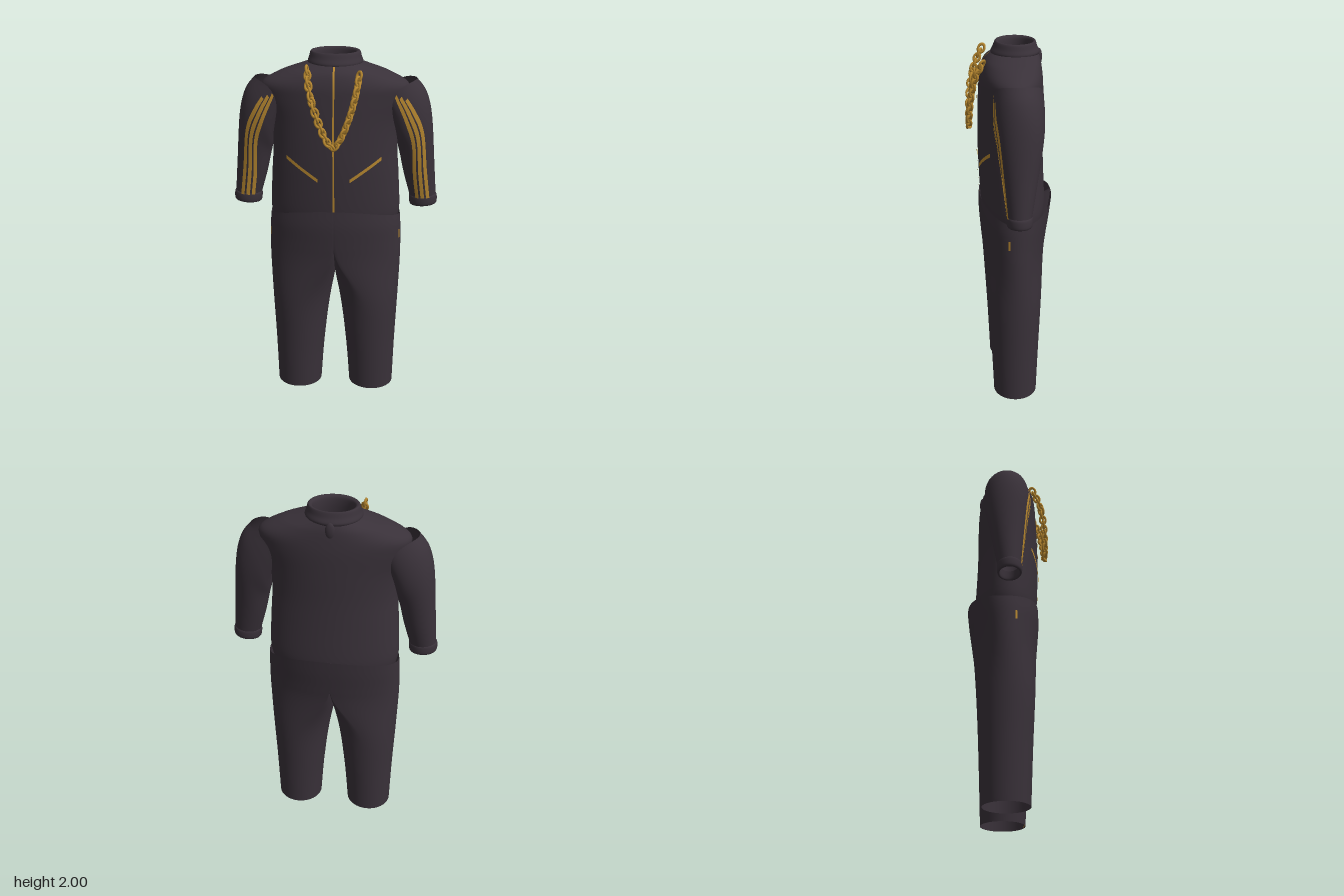
import * as THREE from 'three';
import { mergeVertices } from 'three/addons/utils/BufferGeometryUtils.js';

const { sin, cos, PI } = Math;
const rad = THREE.MathUtils.degToRad;
const V = (x, y, z) => new THREE.Vector3(x, y, z);

// Smoothly interpolates a table of cross-section values; u runs from 0 to 1.
function sample(rows, u) {
  const f = u * (rows.length - 1);
  const i = Math.min(Math.floor(f), rows.length - 2);
  const t = f - i;
  const at = (k) => rows[THREE.MathUtils.clamp(k, 0, rows.length - 1)];
  return rows[i].map((b, c) => {
    const a = at(i - 1)[c], d = at(i + 1)[c], e = at(i + 2)[c];
    const m0 = (d - a) / 2, m1 = (e - b) / 2;
    return b + t * (m0 + t * (3 * (d - b) - 2 * m0 - m1 + t * (2 * (b - d) + m0 + m1)));
  });
}

// Grid surface from fn(u, v) -> Vector3.
function surface(fn, nu, nv) {
  const pos = [], index = [];
  for (let i = 0; i <= nu; i++) {
    for (let j = 0; j <= nv; j++) pos.push(...fn(i / nu, j / nv).toArray());
  }
  for (let i = 0; i < nu; i++) {
    for (let j = 0; j < nv; j++) {
      const a = i * (nv + 1) + j, b = a + nv + 1;
      index.push(a, a + 1, b, b, a + 1, b + 1);
    }
  }
  const g = new THREE.BufferGeometry();
  g.setAttribute('position', new THREE.Float32BufferAttribute(pos, 3));
  g.setIndex(index);
  const welded = mergeVertices(g, 1e-5);
  welded.computeVertexNormals();
  return welded;
}

// Jacket body: y, half width, front z, back z
const BODY = [
  [1.07, 0.345, 0.14, -0.19], [1.15, 0.357, 0.155, -0.195], [1.35, 0.346, 0.165, -0.186],
  [1.5, 0.336, 0.167, -0.181], [1.65, 0.346, 0.164, -0.181], [1.77, 0.382, 0.158, -0.18],
  [1.84, 0.385, 0.152, -0.175], [1.895, 0.29, 0.135, -0.168], [1.925, 0.2, 0.112, -0.16],
  [1.945, 0.135, 0.085, -0.15],
];
const COLLAR = [
  [1.925, 0.135, 0.085, -0.15], [1.945, 0.146, 0.094, -0.162], [1.97, 0.138, 0.082, -0.15],
  [1.995, 0.131, 0.072, -0.142], [2.0, 0.122, 0.064, -0.136], [1.99, 0.108, 0.05, -0.126],
  [1.95, 0.105, 0.046, -0.124], [1.9, 0.108, 0.05, -0.126],
];
const oval = (rows) => (u, v) => {
  const [y, w, f, b] = sample(rows, u);
  return V(w * cos(v * 2 * PI), y, (f + b) / 2 + ((f - b) / 2) * sin(v * 2 * PI));
};

// Height of the jacket front above the z = 0 plane at a given x, y
function frontZ(x, y) {
  let lo = 0, hi = 1;
  for (let i = 0; i < 25; i++) {
    const m = (lo + hi) / 2;
    if (sample(BODY, m)[0] < y) lo = m; else hi = m;
  }
  const [, w, f, b] = sample(BODY, lo);
  return (f + b) / 2 + ((f - b) / 2) * Math.sqrt(Math.max(0, 1 - (x / w) ** 2));
}

// Sleeve: outer x, y, inner x, y, centre z, half depth, bulge x, y
const SLEEVE = [
  [0.43, 1.86, 0.33, 1.58, -0.028, 0.124, -0.07, 0.06],
  [0.482, 1.79, 0.338, 1.5, -0.027, 0.126, -0.03, 0.02],
  [0.516, 1.66, 0.352, 1.44, -0.028, 0.11, 0, 0],
  [0.54, 1.4, 0.377, 1.33, -0.025, 0.084, 0, 0],
  [0.556, 1.21, 0.413, 1.205, -0.02, 0.062, 0, 0],
];
const CUFF = [
  [0.553, 1.225, 0.413, 1.215, -0.02, 0.06, 0, 0],
  [0.561, 1.215, 0.408, 1.205, -0.02, 0.066, 0, 0],
  [0.563, 1.18, 0.411, 1.17, -0.02, 0.066, 0, 0],
  [0.556, 1.167, 0.418, 1.158, -0.02, 0.059, 0, 0],
  [0.548, 1.175, 0.425, 1.168, -0.02, 0.052, 0, 0],
  [0.546, 1.22, 0.425, 1.21, -0.02, 0.05, 0, 0],
];
const arm = (rows, side, out = 0) => (u, v) => {
  const [ox, oy, ix, iy, cz, rz, bx, by] = sample(rows, u);
  const a = v * 2 * PI, s2 = sin(a) ** 2;
  const x = (ox + ix) / 2 + ((ox - ix) / 2 + out) * cos(a) + bx * s2;
  const y = (oy + iy) / 2 + ((oy - iy) / 2) * cos(a) + by * s2;
  return V(side * x, y, cz + (rz + out) * sin(a));
};

// Trouser leg: y, outer x, inner x, front z, back z, join at the middle, rim lift
const LEG = [
  [0, 0.345, 0.085, 0.1, -0.145, 0, 0], [0.3, 0.352, 0.062, 0.113, -0.156, 0, 0],
  [0.6, 0.363, 0.028, 0.13, -0.17, 0.08, 0], [0.84, 0.37, 0, 0.147, -0.19, 0.75, 0],
  [0.95, 0.369, 0, 0.157, -0.205, 0.92, 0], [1.04, 0.366, 0, 0.166, -0.223, 0.95, 0.03],
  [1.1, 0.361, 0, 0.164, -0.234, 0.96, 0.066],
];
const leg = (side, out = 0) => (u, v) => {
  const [y, xo, xi, f, b, join, lift] = sample(LEG, u);
  const a = v * 2 * PI;
  const round = (xo + xi) / 2 + ((xo - xi) / 2 + out) * cos(a);
  const half = cos(a) > 0 ? (xo + out) * cos(a) : -0.015;
  const z = (f + b) / 2 + ((f - b) / 2 + out) * sin(a);
  return V(side * THREE.MathUtils.lerp(round, half, join), y + lift * sin(a) ** 2, z);
};

export function createModel() {
  const fabric = new THREE.MeshStandardMaterial({ color: 0x393139, side: THREE.DoubleSide });
  fabric.name = 'dark fabric';
  const gold = new THREE.MeshStandardMaterial({ color: 0xb5862f, side: THREE.DoubleSide });
  gold.name = 'gold';
  const model = new THREE.Group();
  model.name = 'tracksuit';
  const add = (name, geometry, material) => {
    const mesh = new THREE.Mesh(geometry, material);
    mesh.name = name;
    model.add(mesh);
    return mesh;
  };

  // Jacket body, collar and the small tab behind the neck
  add('jacketBody', surface(oval(BODY), 45, 64), fabric);
  add('collar', surface(oval(COLLAR), 28, 48), fabric);
  const tab = add('neckTab', new THREE.SphereGeometry(1, 16, 10), fabric);
  tab.scale.set(0.025, 0.045, 0.014);
  tab.position.set(0, 1.91, -0.162);

  // Front zip
  add('zip', surface((u, v) => {
    const x = (v - 0.5) * 0.01, y = 1.15 + u * 0.79;
    return V(x, y, frontZ(x, y) + 0.006);
  }, 40, 1), gold);

  for (const side of [1, -1]) {
    const label = side > 0 ? 'left' : 'right';

    // Sleeve with a folded cuff
    add(label + 'Sleeve', surface(arm(SLEEVE, side), 28, 40), fabric);
    add(label + 'Cuff', surface(arm(CUFF, side), 20, 40), fabric);

    // Three stripes down each sleeve: start along the arm, angle at top and bottom
    const stripes = [[0.01, 84, 116], [0.075, 77, 93], [0.13, 69, 70]];
    for (const [start, top, bottom] of stripes) {
      const at = arm(SLEEVE, side, 0.004);
      add(label + 'SleeveStripe', surface((u, v) => {
        const p = start + u * (0.99 - start);
        const angle = THREE.MathUtils.lerp(top, bottom, u) + (v - 0.5) * (7 + 8 * u);
        return at(p, angle / 360);
      }, 30, 2), gold);
    }

    // Slanted pocket trim
    add(label + 'PocketTrim', surface((u, v) => {
      const x = 0.085 + u * 0.167, y = 1.345 + u * 0.115 + (v - 0.5) * 0.02;
      return V(side * x, y, frontZ(x, y) + 0.006);
    }, 12, 1), gold);

    // Trouser leg, hip tag and stripes on the inside of the hem
    add(label + 'TrouserLeg', surface(leg(side), 42, 64), fabric);
    add(label + 'HipTag', surface((u, v) =>
      leg(side, 0.004)(0.69 + u * 0.09, (13 + v * 3) / 360), 6, 1), gold);
    for (const angle of [72, 78, 84]) {
      add(label + 'HemStripe', surface((u, v) =>
        leg(side, -0.004)(0.003 + u * 0.15, (angle + v * 3) / 360), 6, 1), gold);
    }
  }

  // Neck chain of interlocked links
  const chain = new THREE.Group();
  chain.name = 'neckChain';
  const path = new THREE.CatmullRomCurve3([
    V(-0.135, 1.93, 0.135), V(-0.122, 1.83, 0.18), V(-0.08, 1.69, 0.205), V(-0.03, 1.575, 0.212),
    V(0, 1.545, 0.212), V(0.03, 1.575, 0.212), V(0.08, 1.69, 0.205), V(0.118, 1.83, 0.18),
    V(0.13, 1.905, 0.145),
  ]);
  const link = new THREE.TorusGeometry(0.0165, 0.0065, 8, 18).scale(1, 1.35, 1);
  const count = 30;
  for (let i = 0; i <= count; i++) {
    const mesh = new THREE.Mesh(link, gold);
    mesh.name = 'chainLink';
    mesh.position.copy(path.getPointAt(i / count));
    mesh.quaternion.setFromUnitVectors(V(0, 1, 0), path.getTangentAt(i / count));
    mesh.rotateY(rad(i % 2 ? 45 : -45));
    chain.add(mesh);
  }
  model.add(chain);
  return model;
}
